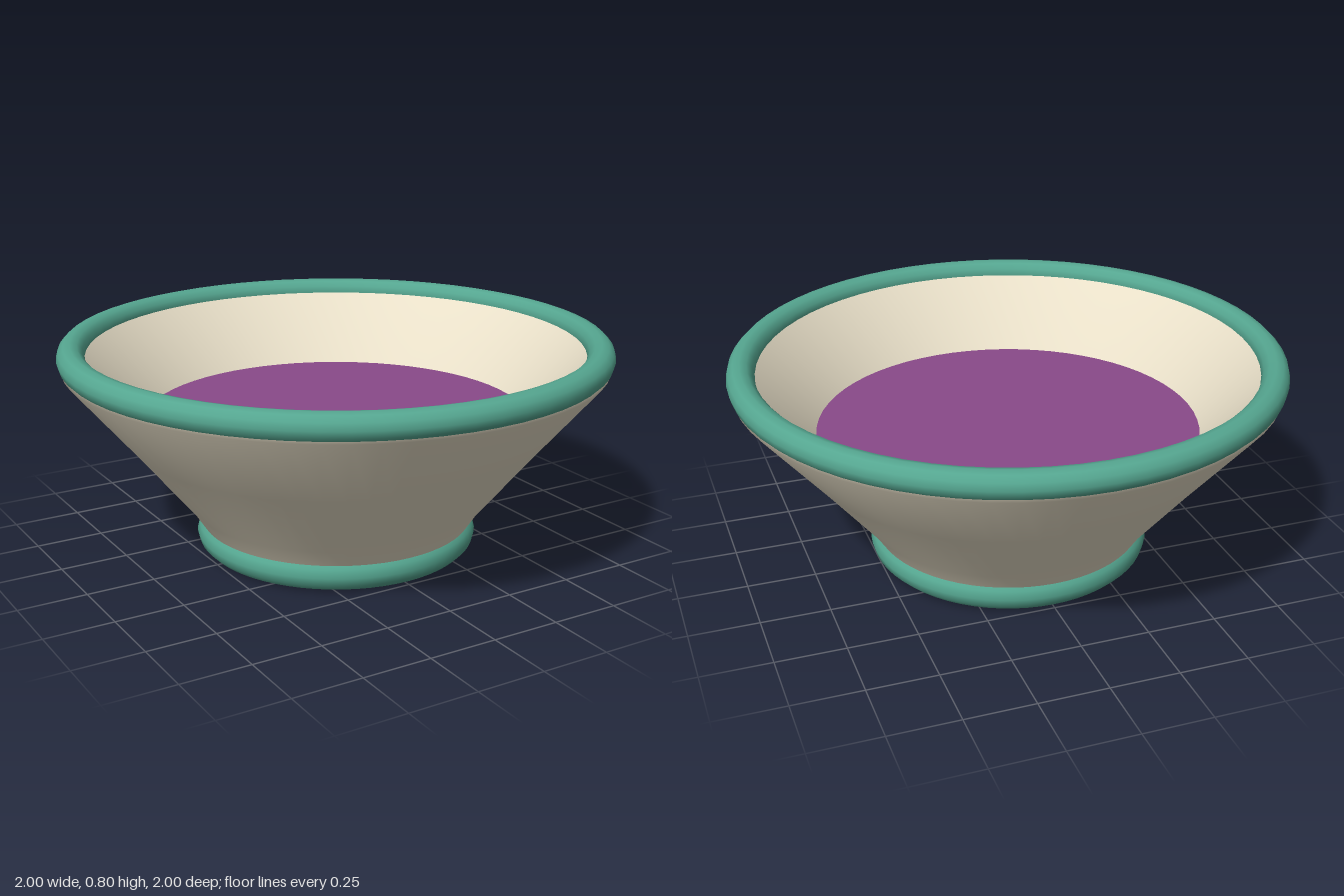
import * as THREE from 'three';

const SEGMENTS = 64;

const cream = new THREE.MeshStandardMaterial({ color: 0xe8dfc8 });
const teal = new THREE.MeshStandardMaterial({ color: 0x55a690 });
const purple = new THREE.MeshStandardMaterial({ color: 0x8a4a8a });

function addPart(group, name, geometry, material, y = 0) {
  const mesh = new THREE.Mesh(geometry, material);
  mesh.name = name;
  mesh.position.y = y;
  group.add(mesh);
}

// Horizontal rounded ring
function ring(radius, tube) {
  return new THREE.TorusGeometry(radius, tube, 12, SEGMENTS).rotateX(Math.PI / 2);
}

export function createModel() {
  const group = new THREE.Group();
  group.name = 'bowl';

  // Wall: underside, flared outside, lip, then the inside down to the floor
  const profile = [
    [0, 0.02], [0.44, 0.02], [0.5, 0.1], [0.545, 0.17], [0.755, 0.43], [0.985, 0.705],
    [0.96, 0.75], [0.9, 0.75], [0.7, 0.5], [0.48, 0.23], [0.4, 0.18], [0, 0.18],
  ].map(([r, y]) => new THREE.Vector2(r, y));
  addPart(group, 'bowlWall', new THREE.LatheGeometry(profile, SEGMENTS), cream);

  // Rim and foot
  addPart(group, 'rimRing', ring(0.95, 0.05), teal, 0.75);
  addPart(group, 'footRing', ring(0.46, 0.06), teal, 0.06);

  // Flat surface of the contents
  const surface = new THREE.CircleGeometry(0.7, SEGMENTS).rotateX(-Math.PI / 2);
  addPart(group, 'contentsSurface', surface, purple, 0.5);

  return group;
}
